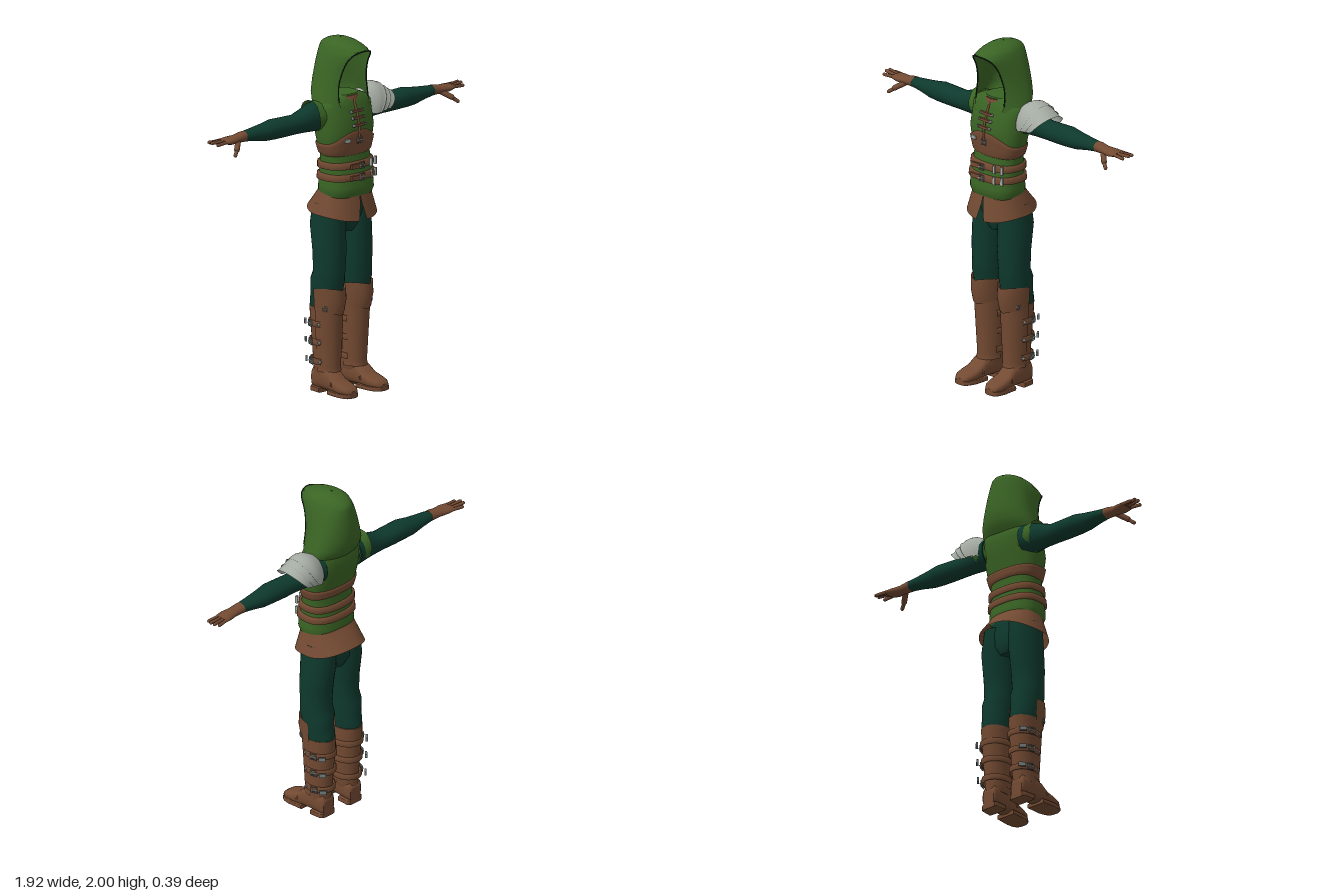
import * as THREE from 'three';

const mat = (name, color) => {
  const m = new THREE.MeshStandardMaterial({ color, side: THREE.DoubleSide });
  m.name = name;
  return m;
};
const { sin, cos, abs, sign, max, PI } = Math;
const V = (x, y, z) => new THREE.Vector3(x, y, z);

// skin a surface over cross-sections; fn(section, angle, fraction) gives a point
function loft(sections, n, fn, { a0 = 0, a1 = 2 * PI, closed = true, cap = closed } = {}) {
  const cols = closed ? n : n + 1, pos = [], idx = [];
  const rings = sections.map(s => Array.from({ length: cols }, (_, j) => fn(s, a0 + (a1 - a0) * j / n, j / n)));
  rings.forEach(r => r.forEach(p => pos.push(p.x, p.y, p.z)));
  for (let i = 0; i < rings.length - 1; i++) for (let j = 0; j < n; j++) {
    const k = (j + 1) % cols, a = i * cols + j, b = i * cols + k;
    idx.push(a, b, b + cols, a, b + cols, a + cols);
  }
  if (cap) [rings[0], rings[rings.length - 1]].forEach((r, end) => {
    const base = pos.length / 3, c = V(0, 0, 0);
    r.forEach(p => { pos.push(p.x, p.y, p.z); c.addScaledVector(p, 1 / cols); });
    pos.push(c.x, c.y, c.z);
    for (let j = 0; j < cols; j++) {
      const k = (j + 1) % cols;
      idx.push(base + cols, base + (end ? j : k), base + (end ? k : j));
    }
  });
  const g = new THREE.BufferGeometry();
  g.setAttribute('position', new THREE.Float32BufferAttribute(pos, 3));
  g.setIndex(idx);
  g.computeVertexNormals();
  return g;
}
const sq = (t, p) => sign(t) * abs(t) ** (2 / p);

// section formats: upright [y, cx, cz, rx, rz]; sideways [x, cy, cz, ry, rz]
const upright = ([y, cx, cz, rx, rz], a) => V(cx + rx * sin(a), y, cz + rz * cos(a));
const sideways = ([x, cy, cz, ry, rz], a) => V(x, cy - ry * sin(a), cz + rz * cos(a));

// torso profile: [y, half width, front z, back z]
const TORSO = [[1.12, .15, .125, -.1], [1.15, .16, .138, -.107], [1.18, .161, .136, -.106], [1.25, .155, .125, -.097],
  [1.36, .153, .1, -.09], [1.42, .172, .107, -.1], [1.5, .18, .12, -.122], [1.58, .18, .103, -.138],
  [1.63, .183, .088, -.136], [1.66, .16, .08, -.127], [1.69, .085, .06, -.095]];
function torsoPoint(y, a, off = 0) {
  let i = 0;
  while (i < TORSO.length - 2 && y > TORSO[i + 1][0]) i++;
  const A = TORSO[i], B = TORSO[i + 1], t = (y - A[0]) / (B[0] - A[0]);
  const [, w, f, b] = A.map((v, k) => v + (B[k] - v) * t);
  return V((w + off) * sq(sin(a), 2.5), y, (f + b) / 2 + ((f - b) / 2 + off) * sq(cos(a), 2.5));
}

export function createModel() {
  const green = mat('green cloth', 0x3a6424), teal = mat('dark teal cloth', 0x0e392d), brown = mat('brown leather', 0x734a32),
    silver = mat('pale steel', 0xa4aba2), metal = mat('buckle metal', 0x747c7c), dark = mat('dark hem', 0x12291a);
  const root = new THREE.Group();
  root.name = 'hoodedOutfit';
  const add = (parent, name, geo, m, p = [0, 0, 0], r = [0, 0, 0]) => {
    const mesh = new THREE.Mesh(geo, m);
    mesh.name = name;
    mesh.position.set(...p);
    mesh.rotation.set(...r);
    parent.add(mesh);
    return mesh;
  };
  const box = (x, y, z) => new THREE.BoxGeometry(x, y, z);
  // square buckle frame with a pin, facing +z before turning
  const buckle = (parent, s, p, ry = 0) => {
    const g = new THREE.Group();
    g.name = 'buckle';
    add(g, 'buckleFrame', new THREE.TorusGeometry(s, s * .2, 4, 4), metal, [0, 0, 0], [0, 0, PI / 4]);
    add(g, 'bucklePin', box(s * 1.6, s * .25, s * .3), silver, [0, 0, s * .2]);
    g.position.set(...p);
    g.rotation.y = ry;
    parent.add(g);
  };

  // tunic
  add(root, 'tunic', loft(TORSO.map(s => s[0]), 40, (y, a) => torsoPoint(y, a)), green);

  // wrap under the chest, rising to a point in front
  add(root, 'chestWrap', loft([0, .1, .4, .7, .95, 1], 48, (t, a) => {
    const lo = 1.355 + .015 * max(0, -cos(a)), hi = 1.425 + .07 * max(0, cos(a)) ** 3;
    return torsoPoint(lo + (hi - lo) * t, a, t === 0 || t === 1 ? 0 : .008);
  }, { cap: false }), brown);

  // waist belts with buckles
  for (const y of [1.3, 1.235]) {
    add(root, 'waistBelt', loft([[-.019, 0], [-.017, .013], [.017, .013], [.019, 0]], 40,
      ([d, o], a) => torsoPoint(y + d, a, o), { cap: false }), brown);
    buckle(root, .024, [0, y, .144]);
    add(root, 'beltTongue', box(.07, .026, .012), brown, [-.045, y, .141]);
    for (const x of [.085, .13]) add(root, 'beltLoop', box(.014, .045, .014), silver, [x, y, x > .1 ? .112 : .128], [0, .35, 0]);
  }
  buckle(root, .022, [0, 1.44, .124]);
  add(root, 'strapTip', box(.035, .02, .012), silver, [-.085, 1.445, .116], [0, -.15, 0]);

  // chest lacing
  add(root, 'lacingStrip', new THREE.TubeGeometry(new THREE.CatmullRomCurve3(
    [V(0, 1.67, .075), V(0, 1.6, .1), V(0, 1.52, .122), V(0, 1.45, .122)]), 16, .007, 6), brown);
  for (const [y, z] of [[1.6, .102], [1.565, .113], [1.525, .123]]) {
    add(root, 'lace', box(.085, .014, .012), brown, [0, y, z]);
    for (const s of [-1, 1]) add(root, 'laceStud', new THREE.SphereGeometry(.009, 8, 6), metal, [.042 * s, y, z]);
  }

  // collar
  add(root, 'collar', loft([[1.64, 0, -.01, .09, .095], [1.68, 0, -.01, .085, .088], [1.685, 0, -.01, .078, .08],
    [1.65, 0, -.01, .07, .07]], 24, upright), brown);

  // hood: [y, half width, front z, back z, opening half angle]
  const HOOD = [[1.625, .175, .085, -.13, .62], [1.66, .172, .076, -.155, .7], [1.7, .162, .07, -.174, .75], [1.76, .146, .068, -.178, .8],
    [1.82, .132, .08, -.176, .8], [1.87, .121, .098, -.172, .8], [1.915, .108, .128, -.168, .78], [1.938, .1, .15, -.165, .6],
    [1.95, .095, .165, -.162, 0], [1.968, .084, .13, -.148, 0], [1.984, .066, .085, -.12, 0], [1.995, .042, .04, -.085, 0], [2, .003, -.02, -.03, 0]];
  const hoodPoint = ([y, w, f, b, e], a, u) => {
    const ang = e + u * (2 * PI - 2 * e), c = cos(ang), zc = (f + b) / 2 - .01;
    return V(w * sin(ang), y, zc + c * (c > 0 ? (f - zc) / cos(e) : zc - b));
  };
  add(root, 'hood', loft(HOOD, 44, hoodPoint, { closed: false }), green);
  const rim = HOOD.slice(1, 9);
  add(root, 'hoodHem', new THREE.TubeGeometry(new THREE.CatmullRomCurve3([...rim.map(s => hoodPoint(s, 0, 0)),
    ...rim.slice(0, -1).reverse().map(s => hoodPoint(s, 0, 1))]), 60, .004, 5), dark);

  // split skirt, lower in front than behind
  add(root, 'skirt', loft([0, .2, .4, .7, 1], 48, (t, a, u) => {
    const e = .005 + .16 * max(0, t - .35), ang = e + u * (2 * PI - 2 * e), c = cos(ang);
    const bottom = c > 0 ? 1.02 - .032 * c * c : 1.02 + .04 * c * c;
    return V((.15 + .042 * t) * sq(sin(ang), 2.3), 1.16 + (bottom - 1.16) * t, -.005 + sq(c, 2.3) * (c > 0 ? .125 + .035 * t : .1 + .09 * t));
  }, { closed: false }), brown);
  add(root, 'hips', loft([[.91, 0, -.025, .05, .08], [.96, 0, -.025, .13, .1], [1.05, 0, -.015, .16, .108], [1.15, 0, 0, .145, .1]], 28, upright), teal);

  for (const side of [1, -1]) {
    const half = new THREE.Group();
    half.name = side > 0 ? 'leftLimbs' : 'rightLimbs';
    half.scale.x = side;
    root.add(half);

    // trouser leg
    add(half, 'trouserLeg', loft([[.42, .103, -.035, .07, .09], [.48, .103, -.037, .076, .098], [.52, .103, -.034, .08, .1], [.56, .104, -.03, .083, .093],
      [.64, .104, -.022, .086, .104], [.69, .102, -.012, .086, .092], [.8, .1, -.012, .09, .098],
      [.95, .098, -.026, .091, .108], [1.08, .088, -.02, .086, .105]], 28, upright), teal);

    // boot shaft, shin guard and knee plate
    const SHAFT = [[.1, .104, -.035, .058, .075], [.14, .1, -.033, .064, .08], [.3, .1, -.036, .072, .09], [.42, .1, -.04, .077, .097], [.49, .101, -.04, .08, .1]];
    add(half, 'bootShaft', loft(SHAFT, 28, upright), brown);
    const front = { a0: -1.62, a1: 1.62, closed: false };
    add(half, 'shinGuard', loft([[.125, .1, -.03, .072, .088], [.15, .1, -.035, .068, .088], [.3, .1, -.035, .077, .096],
      [.46, .102, -.035, .083, .105], [.58, .103, -.03, .086, .108]], 20, upright, front), brown);
    add(half, 'kneePlate', loft([0, .5, 1], 20, (t, a) => {
      const y = .45 + .025 * abs(sin(a)) + (.145 - .04 * abs(sin(a)) ** 4 * .5) * t;
      return V(.103 + (.084 + .008 * t) * sin(a), y, -.035 + (.115 + .018 * sin(t * PI * .8)) * cos(a));
    }, front), brown);
    buckle(half, .016, [.178, .49, .03], 1.2);

    // straps round the calf
    for (const y of [.395, .29, .18]) {
      const r = .072 + (y - .18) * .04, rz = .089 + (y - .18) * .04;
      add(half, 'bootStrap', loft([[y - .017, .1, -.037, r, rz], [y - .015, .1, -.037, r + .008, rz + .008], [y + .015, .1, -.037, r + .008, rz + .008],
        [y + .017, .1, -.037, r, rz]], 24, upright, { a0: 1.2, a1: 5.1, closed: false }), brown);
      buckle(half, .024, [.106 + r, y, -.075], PI / 2 + .35);
      add(half, 'strapEnd', box(.012, .022, .04), metal, [.09 + r, y, -.13], [0, .75, 0]);
      add(half, 'strapStud', new THREE.SphereGeometry(.01, 8, 6), metal, [.102 + r, y, -.01]);
    }

    // foot, sole and heel: [z, half width, top]
    const FOOT = [[-.112, .04, .1], [-.1, .052, .14], [-.03, .056, .16], [.04, .056, .135], [.08, .058, .098], [.13, .06, .078], [.17, .052, .066], [.19, .038, .052], [.197, .02, .042]];
    add(half, 'bootFoot', loft(FOOT, 20, ([z, w, top], a) =>
      V(.108 + z * .05 + w * sq(cos(a), 3), (top + .018) / 2 + (top - .018) / 2 * sq(sin(a), 2.6), z)), brown);
    const sole = (name, z0, z1, y0) => add(half, name, loft(FOOT.filter(f => f[0] >= z0 && f[0] <= z1), 20, ([z, w], a) =>
      V(.108 + z * .05 + (w + .004) * sq(cos(a), 8), (y0 + .03) / 2 + (.03 - y0) / 2 * sq(sin(a), 8), z)), brown);
    sole('heel', -.2, -.02, 0);
    sole('sole', .03, .2, .004);
    add(half, 'instepStrap', new THREE.TorusGeometry(.057, .006, 6, 20, PI), brown, [.111, .055, .075], [-.35, 0, 0]);

    // sleeve
    add(half, 'sleeve', loft([[.13, 1.575, -.055, .085, .08], [.2, 1.573, -.052, .08, .072], [.27, 1.563, -.052, .066, .062], [.33, 1.555, -.05, .055, .06],
      [.42, 1.556, -.05, .056, .063], [.5, 1.558, -.05, .057, .062], [.57, 1.553, -.052, .049, .055], [.65, 1.556, -.053, .036, .044],
      [.74, 1.557, -.054, .026, .033]], 24, sideways), teal);
    // flared armhole
    add(half, 'armholeCap', loft([[.12, 1.575, -.04, .08, .085], [.17, 1.575, -.045, .086, .085], [.215, 1.578, -.048, .085, .08]], 24,
      (s, a) => { const p = sideways(s, a); p.x -= .03 * max(0, sin(a)); p.y += s[0] > .2 && sin(a) < -.7 ? .008 : 0; return p; }, { cap: false }), green);

    // glove
    add(half, 'glovePalm', loft([[.715, 1.557, -.054, .03, .036], [.735, 1.557, -.054, .029, .036], [.78, 1.553, -.053, .024, .036], [.83, 1.552, -.055, .022, .045],
      [.865, 1.553, -.06, .015, .045], [.875, 1.553, -.06, .01, .038]], 20, sideways), brown);
    const finger = (name, a, b, r) => {
      const d = b.clone().sub(a), m = add(half, name, new THREE.CapsuleGeometry(r, d.length(), 4, 10), brown);
      m.position.copy(a).addScaledVector(d, .5);
      m.quaternion.setFromUnitVectors(V(0, 1, 0), d.normalize());
    };
    [[.925, -.102, -.092], [.948, -.086, -.072], [.95, -.06, -.053], [.935, -.028, -.031]].forEach(([x, z, zk], i) =>
      finger('finger', V(.855, 1.554, zk), V(x, i % 3 ? 1.559 : 1.55, z), .0095));
    finger('thumbBase', V(.77, 1.545, -.04), V(.82, 1.51, .002), .016);
    finger('thumb', V(.815, 1.512, 0), V(.85, 1.485, .02), .0105);
  }

  // layered shoulder guard on the left arm
  for (const k of [2, 1, 0]) {
    add(root, 'shoulderGuard', loft([0, .2, .4, .6, .8, .95, 1], 24, (t, a) => {
      const edge = .3 + .036 * k - .075 * (a / 1.75) ** 2;
      const ry = .1 + .045 * sin(t * PI * .7) - (.022 + .022 * k) * t * t - .003 * k;
      const rz = .085 + .03 * sin(t * PI * .6) - .004 * k;
      const lip = t === 1 ? .006 : 0;
      return V(.16 + (edge - .16) * t, 1.565 + (ry + lip) * cos(a), -.05 + (rz + lip) * sin(a));
    }, { a0: -1.75, a1: 1.75, closed: false }), silver);
  }
  return root;
}
